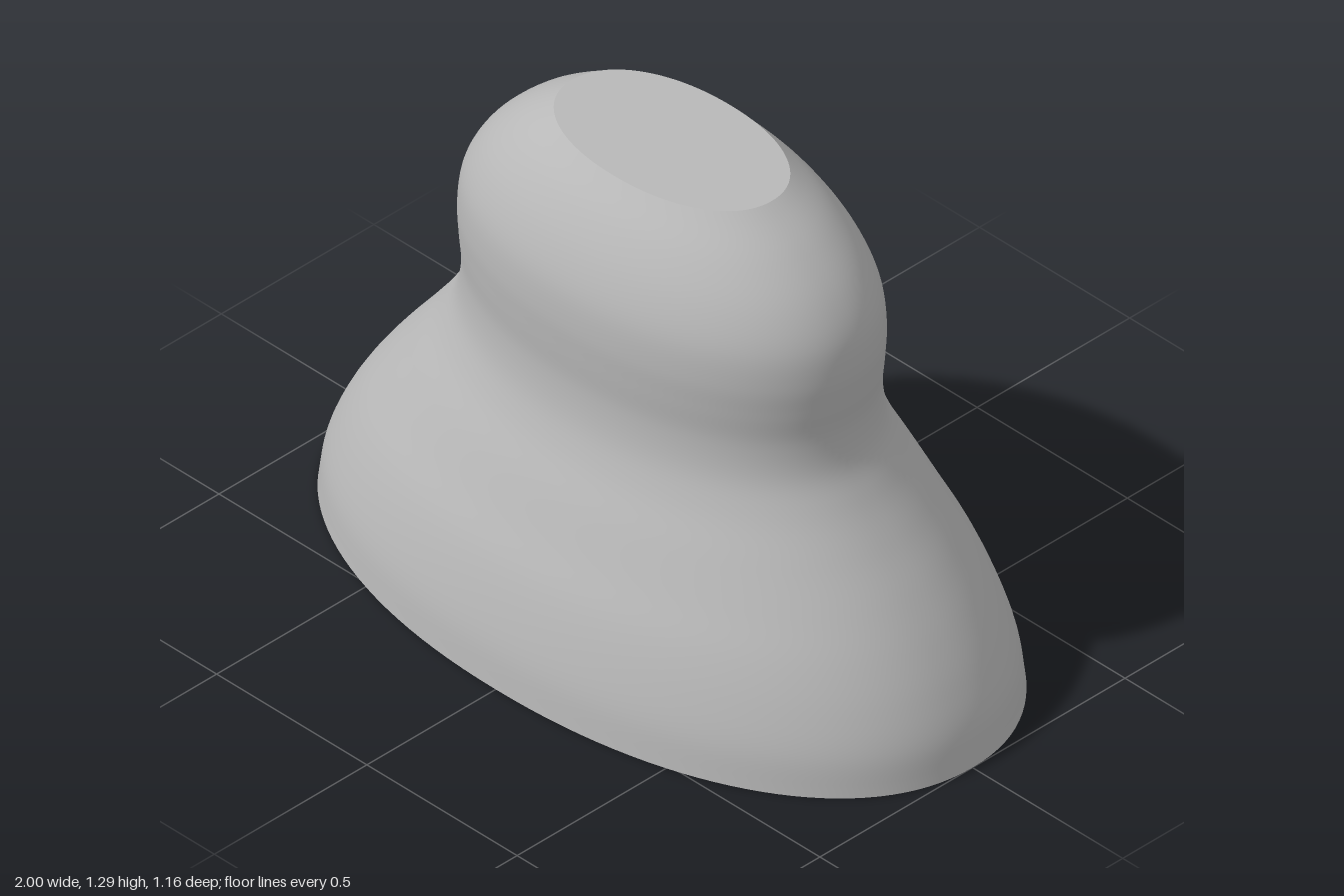
import * as THREE from 'three';

const SEGMENTS = 128;
const RINGS = 80;

// Height, half width (x) and half depth (z) up the body
const sections = [
  [0, 1, 0.578], [0.1, 0.983, 0.567], [0.2, 0.941, 0.543], [0.3, 0.882, 0.51],
  [0.4, 0.81, 0.465], [0.5, 0.73, 0.422], [0.6, 0.655, 0.376], [0.68, 0.61, 0.352],
  [0.77, 0.595, 0.343], [0.86, 0.602, 0.348], [0.94, 0.606, 0.351], [1.03, 0.592, 0.343],
  [1.12, 0.543, 0.314], [1.21, 0.455, 0.264], [1.295, 0.333, 0.194],
].map(([y, x, z]) => new THREE.Vector3(x, y, z));

// Slightly squared oval
function ovalPoint(angle, rx, rz) {
  const soft = (v) => Math.sign(v) * Math.abs(v) ** (2 / 2.13);
  return [rx * soft(Math.cos(angle)), rz * soft(Math.sin(angle))];
}

// Smooth wall lofted through the sections, sharing vertices at the seam
function wallGeometry() {
  const rings = new THREE.CatmullRomCurve3(sections).getPoints(RINGS);
  const positions = [], index = [];
  rings.forEach((ring, r) => {
    for (let s = 0; s < SEGMENTS; s++) {
      const [x, z] = ovalPoint((s / SEGMENTS) * Math.PI * 2, ring.x, ring.z);
      positions.push(x, ring.y, z);
      if (r === RINGS) continue;
      const a = r * SEGMENTS + s;
      const b = r * SEGMENTS + ((s + 1) % SEGMENTS);
      index.push(a, a + SEGMENTS, b, b, a + SEGMENTS, b + SEGMENTS);
    }
  });
  const geometry = new THREE.BufferGeometry();
  geometry.setAttribute('position', new THREE.Float32BufferAttribute(positions, 3));
  geometry.setIndex(index);
  geometry.computeVertexNormals();
  return geometry;
}

// Flat oval lid, facing up or down
function capGeometry(section, facing) {
  const points = [];
  for (let s = 0; s < SEGMENTS; s++) {
    points.push(new THREE.Vector2(...ovalPoint((s / SEGMENTS) * Math.PI * 2, section.x, section.z)));
  }
  return new THREE.ShapeGeometry(new THREE.Shape(points))
    .rotateX(-facing * Math.PI / 2)
    .translate(0, section.y, 0);
}

export function createModel() {
  const group = new THREE.Group();
  group.name = 'waistedOvalBody';
  const grey = new THREE.MeshStandardMaterial({ color: 0xb8b8b8 });
  grey.name = 'grey';

  const add = (name, geometry) => {
    const mesh = new THREE.Mesh(geometry, grey);
    mesh.name = name;
    group.add(mesh);
  };
  add('wall', wallGeometry());
  add('topFace', capGeometry(sections[sections.length - 1], 1));
  add('baseFace', capGeometry(sections[0], -1));
  return group;
}
